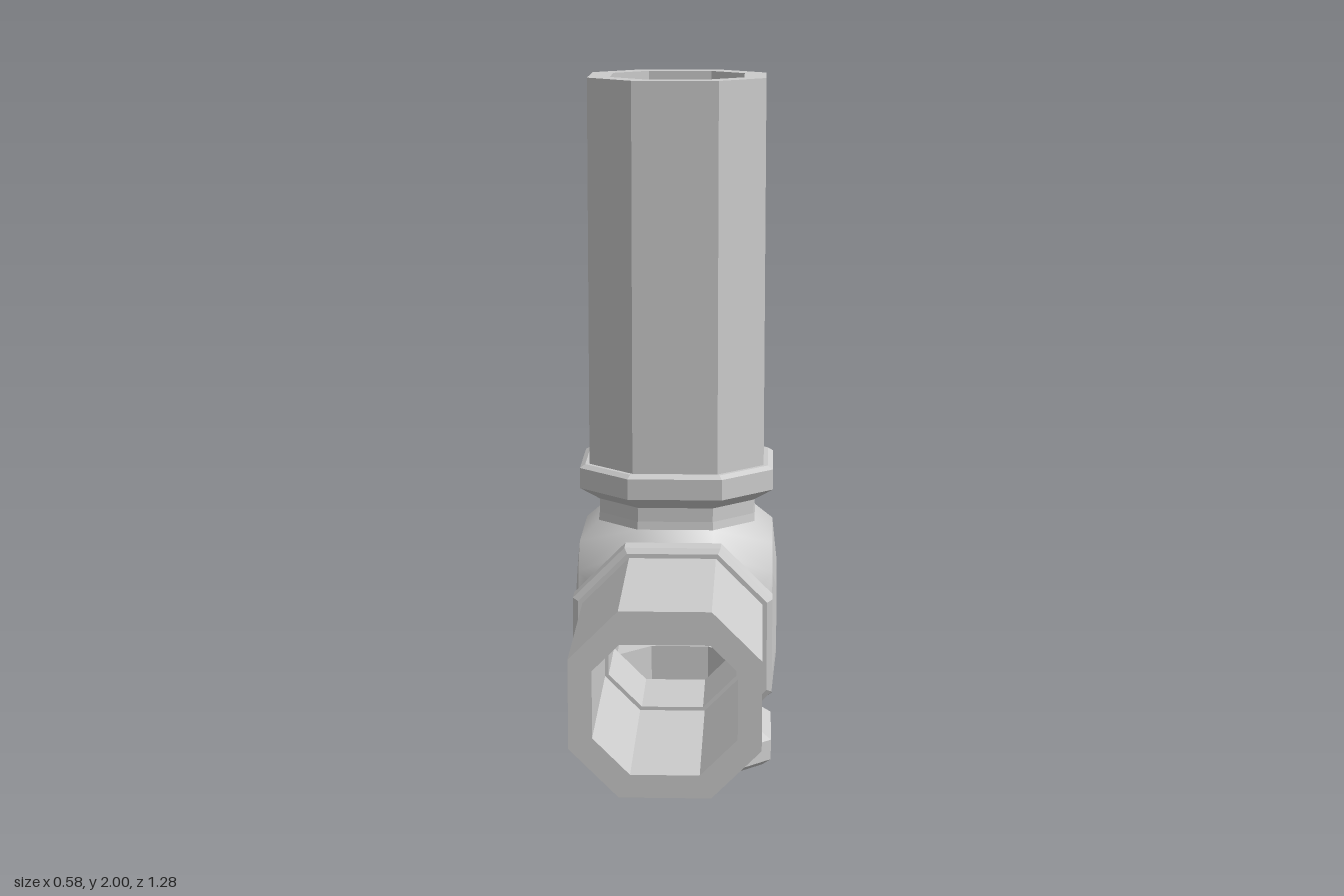
import * as THREE from 'three';
import { mergeVertices } from 'three/addons/utils/BufferGeometryUtils.js';
import { ConvexGeometry } from 'three/addons/geometries/ConvexGeometry.js';

const flat = new THREE.MeshStandardMaterial({ color: 0xcccccc, flatShading: true });
const smooth = new THREE.MeshStandardMaterial({ color: 0xcccccc });

const R = 0.277;     // half size of body and collars
const NECK = 0.222;  // half size of necks
const BORE = 0.178;  // half size of the bore inside the body
const CAVITY = 0.185;

// Corners of an eight-sided outline; k is the share of each side left uncut
function octagon(h, k = 0.48) {
  const e = h * k;
  return [[e, h], [h, e], [h, -e], [e, -h], [-e, -h], [-h, -e], [-h, e], [-e, h]];
}

// Eight-sided loft along y through [half size, height] stations
function loft(stations, k) {
  const pos = [], idx = [];
  stations.forEach(([h, y], i) => {
    octagon(h, k).forEach(([x, z]) => pos.push(x, y, z));
    if (i === 0) return;
    for (let j = 0; j < 8; j++) {
      const n = (j + 1) % 8, a = (i - 1) * 8, b = i * 8;
      idx.push(a + j, a + n, b + j, a + n, b + n, b + j);
    }
  });
  // outline runs clockwise seen from +z in the x-z plane, so flip if needed
  const g = new THREE.BufferGeometry();
  g.setAttribute('position', new THREE.Float32BufferAttribute(pos, 3));
  const [ax, az] = [pos[0], pos[2]], [bx, bz] = [pos[3], pos[5]];
  if (az * bx - ax * bz < 0) idx.reverse();
  g.setIndex(idx);
  const out = g.toNonIndexed();
  out.computeVertexNormals();
  return out;
}

function add(parent, name, geometry, material = flat) {
  const m = new THREE.Mesh(geometry, material);
  m.name = name;
  parent.add(m);
  return m;
}

// Inner wall of the hollow body, facing inward, with or without an opening
function cavityWall(open) {
  const s = new THREE.Shape();
  const c = CAVITY;
  s.moveTo(-c, -c).lineTo(c, -c).lineTo(c, c).lineTo(-c, c).closePath();
  if (open) s.holes.push(new THREE.Path(octagon(BORE).map(([x, y]) => new THREE.Vector2(x, y))));
  return new THREE.ShapeGeometry(s).rotateX(Math.PI / 2).translate(0, c, 0);
}

// Neck, collar and pipe up to distance end
function pipeArm(name, end) {
  const g = new THREE.Group();
  g.name = name;
  add(g, 'neck', loft([[0.225, 0.275], [NECK, 0.30], [NECK, 0.34]]));
  add(g, 'collar', loft([[NECK, 0.34], [R, 0.376], [R, 0.435], [0.262, 0.445], [0.25, 0.445]]));
  add(g, 'pipe', loft([[0.25, 0.445], [0.25, end], [0.188, end], [0.188, 0.445], [BORE, 0.445]]));
  add(g, 'bore', loft([[BORE, 0.445], [BORE, CAVITY]]));
  add(g, 'cavityWall', cavityWall(true));
  return g;
}

// Neck and open collar without a pipe
function socketArm(name) {
  const g = new THREE.Group();
  g.name = name;
  add(g, 'neck', loft([[0.225, 0.275], [NECK, 0.30], [NECK, 0.335]]));
  add(g, 'collar', loft([[NECK, 0.335], [R, 0.375], [R, 0.435], [0.252, 0.455], [0.228, 0.455]]));
  add(g, 'bore', loft([[0.228, 0.455], [0.21, 0.39], [BORE, 0.33], [BORE, CAVITY]]));
  add(g, 'cavityWall', cavityWall(true));
  return g;
}

// Slightly domed panel closing one side of the body
function panelArm(name) {
  const g = new THREE.Group();
  g.name = name;
  add(g, 'panel', loft([[0.225, R], [0.12, 0.29], [0, 0.29]], 0.69));
  add(g, 'cavityWall', cavityWall(false));
  return g;
}

// Bevelled skin between the six sides: a hull with its six flat caps removed
function bodySkin(arms) {
  const pts = [];
  for (const arm of arms) {
    const open = !arm.name.endsWith('Panel');
    octagon(0.225, open ? 0.48 : 0.69).forEach(([x, z]) =>
      pts.push(new THREE.Vector3(x, R, z).applyEuler(arm.rotation)));
  }
  const p = new ConvexGeometry(pts).attributes.position;
  const kept = [];
  for (let i = 0; i < p.count; i += 3) {
    const tri = [0, 1, 2].map((k) => new THREE.Vector3().fromBufferAttribute(p, i + k));
    const cap = ['x', 'y', 'z'].some((a) => [1, -1].some((s) =>
      tri.every((v) => Math.abs(v[a] * s - R) < 1e-4)));
    if (!cap) tri.forEach((v) => kept.push(v.x, v.y, v.z));
  }
  const g = new THREE.BufferGeometry();
  g.setAttribute('position', new THREE.Float32BufferAttribute(kept, 3));
  const merged = mergeVertices(g, 1e-4);
  merged.computeVertexNormals();
  return merged;
}

export function createModel() {
  const model = new THREE.Group();
  model.name = 'pipeFitting';
  const core = new THREE.Group();
  core.name = 'fitting';
  core.position.set(0, 0.455, -0.35);
  model.add(core);

  const q = Math.PI / 2;
  const arms = [
    [pipeArm('uprightPipe', 1.545), 0, 0],
    [pipeArm('frontPipe', 0.99), q, 0],
    [socketArm('bottomSocket'), Math.PI, 0],
    [panelArm('backPanel'), -q, 0],
    [panelArm('leftPanel'), 0, -q],
    [panelArm('rightPanel'), 0, q],
  ].map(([arm, rx, rz]) => {
    arm.rotation.set(rx, 0, rz);
    core.add(arm);
    return arm;
  });

  add(core, 'body', bodySkin(arms), smooth);
  return model;
}
